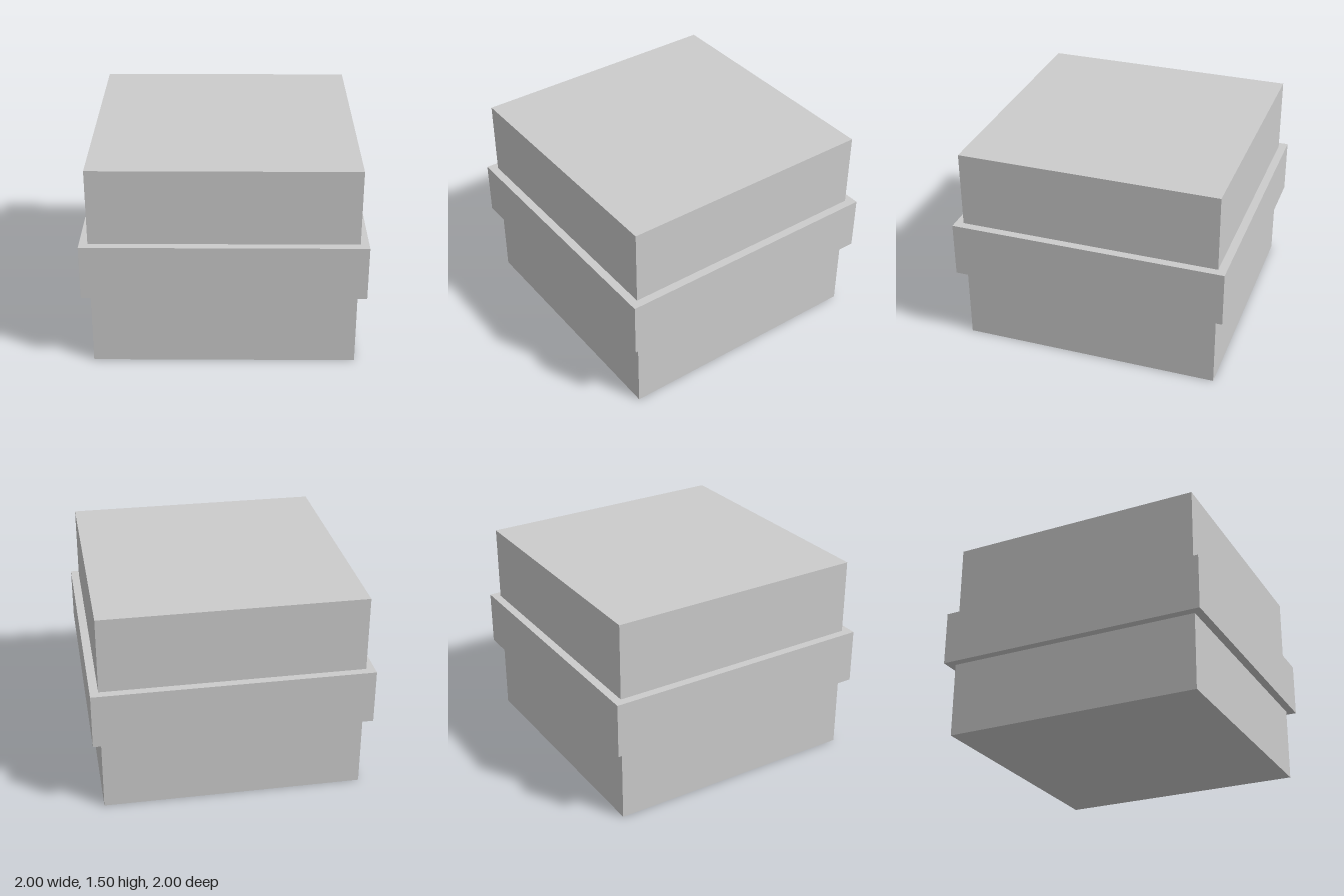
import * as THREE from 'three';

export function createModel() {
  const model = new THREE.Group();
  const material = new THREE.MeshStandardMaterial({ color: 0xcccccc, flatShading: true });

  // Square block of a given width between two heights
  const addBlock = (name, width, bottom, top) => {
    const mesh = new THREE.Mesh(new THREE.BoxGeometry(width, top - bottom, width), material);
    mesh.name = name;
    mesh.position.y = (bottom + top) / 2;
    model.add(mesh);
  };

  addBlock('body', 1.88, 0, 1.5);
  // Wider band wrapped around the middle of the body
  addBlock('band', 2, 0.55, 0.95);

  return model;
}
